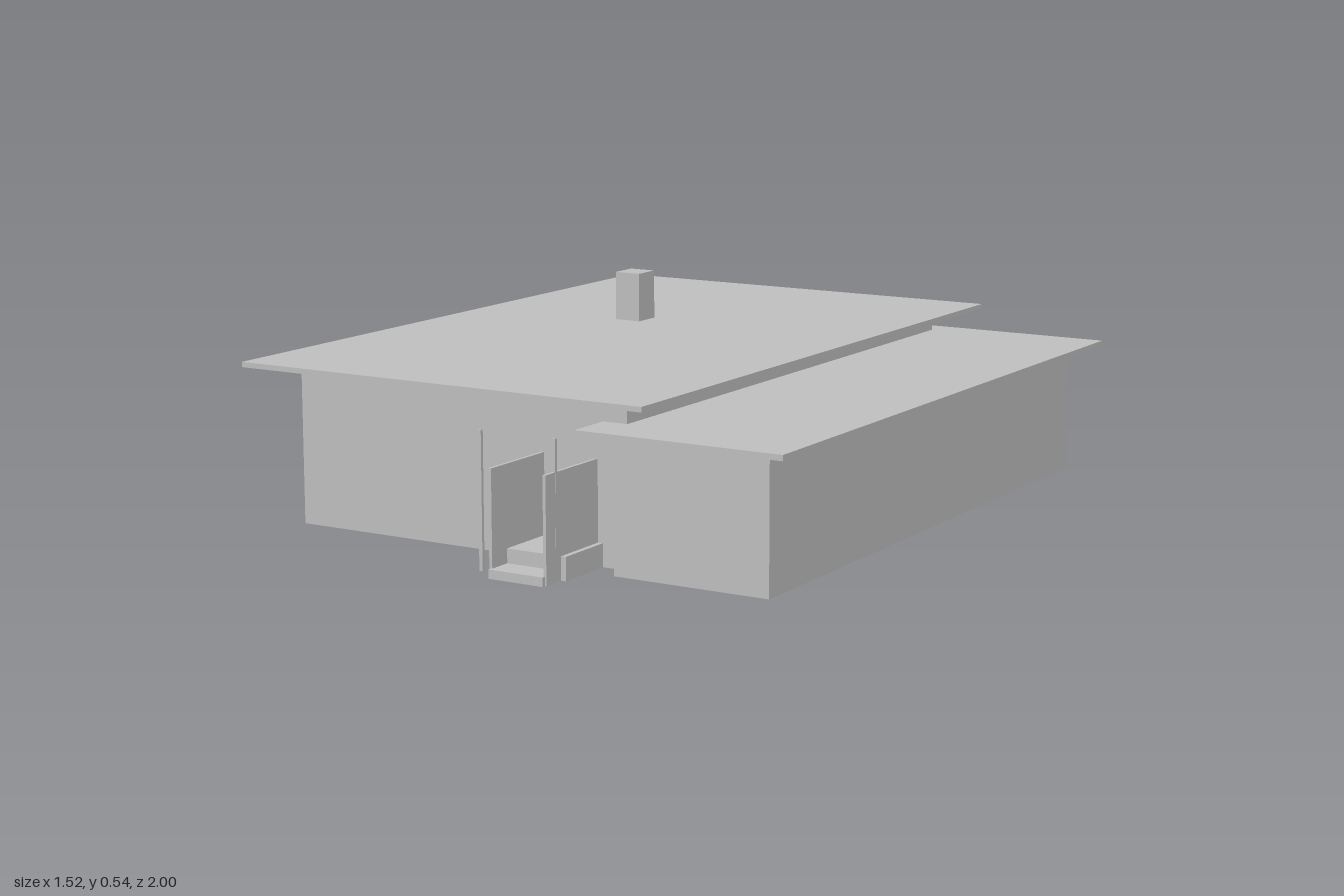
import * as THREE from 'three';

const grey = new THREE.MeshStandardMaterial({ color: 0xc0c0c0 });
grey.name = 'plain grey';

// Box given by its extents along each axis
function block(name, [x0, x1], [y0, y1], [z0, z1]) {
  const mesh = new THREE.Mesh(new THREE.BoxGeometry(x1 - x0, y1 - y0, z1 - z0), grey);
  mesh.position.set((x0 + x1) / 2, (y0 + y1) / 2, (z0 + z1) / 2);
  mesh.name = name;
  return mesh;
}

export function createModel() {
  const house = new THREE.Group();
  house.name = 'house';
  const front = 0.775, back = -0.794;

  // Main volume, lower wing and chimney
  house.add(
    block('mainWalls', [-0.657, 0.284], [0, 0.397], [back, front]),
    block('mainRoof', [-0.76, 0.385], [0.397, 0.41], [-0.898, 0.875]),
    block('wingWalls', [0.284, 0.69], [0, 0.33], [back, 0.834]),
    block('wingRoof', [0.219, 0.757], [0.33, 0.344], [-0.865, 0.895]),
    block('chimney', [-0.337, -0.264], [0.41, 0.537], [-0.23, -0.154])
  );

  // Front entrance: two steps between solid side panels
  const entrance = new THREE.Group();
  entrance.name = 'frontEntrance';
  entrance.add(
    block('upperStep', [0.037, 0.216], [0, 0.057], [front, 0.93]),
    block('lowerStep', [0.051, 0.199], [0, 0.022], [front, 1])
  );
  for (const x of [0.051, 0.199]) {
    entrance.add(block('sidePanel', [x - 0.004, x + 0.004], [0, 0.255], [front, 0.99]));
  }
  // Slim posts beside the entrance
  for (const x of [-0.004, 0.199]) {
    entrance.add(block('post', [x - 0.0045, x + 0.0045], [0, 0.332], [0.943, 0.951]));
  }

  // Back door steps
  const backSteps = new THREE.Group();
  backSteps.name = 'backSteps';
  backSteps.add(
    block('upperStep', [-0.355, -0.02], [0, 0.057], [-0.932, back]),
    block('lowerStep', [-0.344, -0.031], [0, 0.022], [-1, -0.932])
  );

  house.add(entrance, backSteps);
  return house;
}
